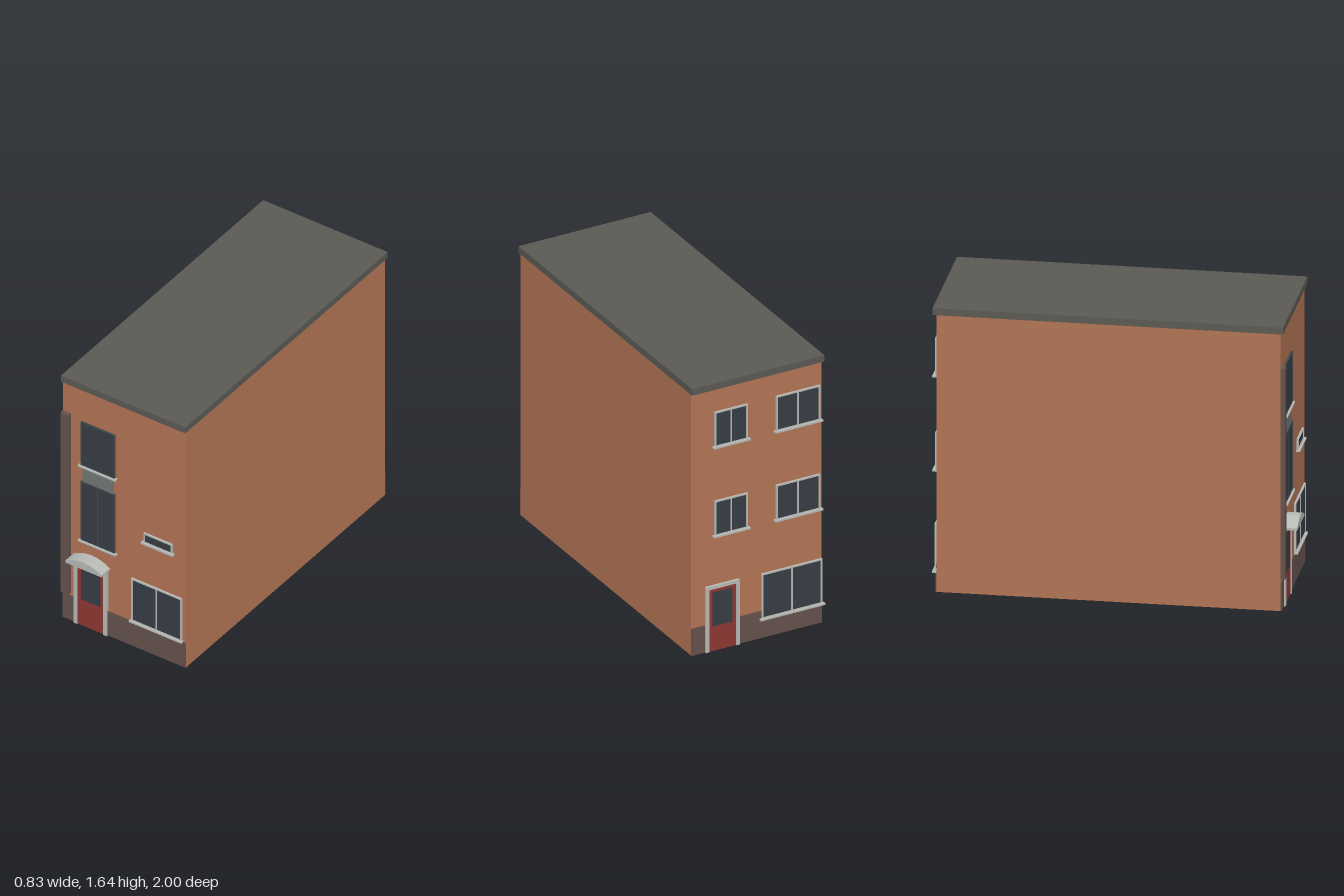
import * as THREE from 'three';

const mat = (color, side = THREE.FrontSide) => {
  const m = new THREE.MeshStandardMaterial({ color, side });
  return m;
};
const MAT = {
  brick: mat(0xb27455, THREE.DoubleSide),
  plinth: mat(0x65524c),
  roof: mat(0x5a5954),
  glass: mat(0x363d44),
  darkFrame: mat(0x41464a),
  trim: mat(0xb8bab6),
  panel: mat(0x707775),
  red: mat(0x8f3733),
};

function add(parent, name, geometry, material) {
  const mesh = new THREE.Mesh(geometry, material);
  mesh.name = name;
  parent.add(mesh);
  return mesh;
}

// Box given by its extents along each axis
function block(parent, name, material, x0, x1, y0, y1, z0, z1) {
  const mesh = add(parent, name, new THREE.BoxGeometry(x1 - x0, y1 - y0, z1 - z0), material);
  mesh.position.set((x0 + x1) / 2, (y0 + y1) / 2, (z0 + z1) / 2);
  return mesh;
}

// Rectangular surround; bottom = 0 leaves it open at the foot
function surround(parent, name, material, x0, x1, y0, y1, width, bottom, depth) {
  const outer = [[x0, y0], [x1, y0], [x1, y1], [x0, y1]];
  const inner = [[x0 + width, y0 + bottom], [x0 + width, y1 - width], [x1 - width, y1 - width], [x1 - width, y0 + bottom]];
  const toPoints = list => list.map(p => new THREE.Vector2(...p));
  let shape;
  if (bottom > 0) {
    shape = new THREE.Shape(toPoints(outer));
    shape.holes.push(new THREE.Path(toPoints(inner)));
  } else {
    shape = new THREE.Shape(toPoints([outer[0], ...inner, outer[1], outer[2], outer[3]]));
  }
  return add(parent, name, new THREE.ExtrudeGeometry(shape, { depth, bevelEnabled: false }), material);
}

// Window with frame, glass, optional mullion and a projecting sill
function windowUnit(parent, name, x0, x1, y0, y1, { frame = MAT.trim, width = 0.009, mullion = true, overhang = 0.012, sillDepth = 0.022 } = {}) {
  const g = new THREE.Group();
  g.name = name;
  parent.add(g);
  surround(g, 'windowFrame', frame, x0, x1, y0, y1, width, width, 0.011);
  block(g, 'windowGlass', MAT.glass, x0 + width / 2, x1 - width / 2, y0 + width / 2, y1 - width / 2, 0, 0.007);
  const c = (x0 + x1) / 2;
  if (mullion) block(g, 'windowMullion', frame, c - 0.005, c + 0.005, y0 + width, y1 - width, 0, 0.01);
  block(g, 'windowSill', MAT.trim, x0 - overhang, x1 + overhang, y0 - 0.005, y0 + 0.005, 0, sillDepth);
}

// Half-glazed door in a surround
function doorUnit(parent, name, x0, x1, height, width, glassBottom, glassTop) {
  const g = new THREE.Group();
  g.name = name;
  parent.add(g);
  surround(g, 'doorFrame', MAT.trim, x0, x1, 0, height, width, 0, 0.015);
  block(g, 'doorLeaf', MAT.red, x0 + width, x1 - width, 0, height - width, 0, 0.009);
  block(g, 'doorGlass', MAT.glass, x0 + width + 0.024, x1 - width - 0.022, glassBottom, glassTop, 0, 0.011);
}

function createFront() {
  const g = new THREE.Group();
  g.name = 'frontFacade';
  g.position.z = 0.92;
  block(g, 'frontPlinth', MAT.plinth, -0.403, 0.41, 0, 0.165, 0, 0.005);
  block(g, 'cornerStrip', MAT.plinth, -0.405, -0.35, 0.183, 1.403, 0, 0.025);

  // Stacked stair windows with the panel between them
  const dark = { frame: MAT.darkFrame, width: 0.006 };
  windowUnit(g, 'upperWindow', -0.28, -0.057, 1.085, 1.383, { ...dark, mullion: false });
  block(g, 'spandrelPanel', MAT.panel, -0.27, -0.066, 0.975, 1.085, 0, 0.008);
  windowUnit(g, 'stairWindow', -0.28, -0.057, 0.576, 0.98, dark);
  block(g, 'lowerPanel', MAT.darkFrame, -0.27, -0.066, 0.557, 0.576, 0, 0.008);

  windowUnit(g, 'slitWindow', 0.135, 0.323, 0.737, 0.803, { mullion: false });
  windowUnit(g, 'groundWindow', 0.053, 0.385, 0.171, 0.46, { overhang: 0.008 });
  doorUnit(g, 'frontDoor', -0.325, -0.105, 0.445, 0.024, 0.177, 0.402);

  // Curved canopy over the door
  const arch = new THREE.Shape();
  const segments = 10, half = 0.12;
  arch.moveTo(-half, 0.445);
  arch.lineTo(half, 0.445);
  for (let i = 0; i <= segments; i++) {
    const t = 1 - (2 * i) / segments;
    arch.lineTo(half * t, 0.458 + 0.037 * (1 - t * t));
  }
  const canopy = add(g, 'doorCanopy', new THREE.ExtrudeGeometry(arch, { depth: 0.08, bevelEnabled: false }), MAT.trim);
  canopy.position.x = -0.214;
  return g;
}

function createBack() {
  const g = new THREE.Group();
  g.name = 'backFacade';
  g.position.z = -0.977;
  g.rotation.y = Math.PI;
  block(g, 'backPlinth', MAT.plinth, -0.41, 0.403, 0, 0.165, 0, 0.005);
  // Two upper storeys share one window layout
  for (const y of [0.7, 1.245]) {
    windowUnit(g, 'smallBackWindow', -0.268, -0.062, y, y + 0.215, { sillDepth: 0.023 });
    windowUnit(g, 'wideBackWindow', 0.115, 0.39, y, y + 0.215, { sillDepth: 0.023 });
  }
  windowUnit(g, 'groundBackWindow', 0.025, 0.403, 0.117, 0.393, { sillDepth: 0.023 });
  doorUnit(g, 'backDoor', -0.325, -0.115, 0.4, 0.02, 0.15, 0.36);
  return g;
}

export function createModel() {
  const house = new THREE.Group();
  house.name = 'townhouse';

  // Brick shell, open underneath
  const walls = block(house, 'walls', MAT.brick, -0.403, 0.41, 0, 1.605, -0.977, 0.92);
  const index = Array.from(walls.geometry.index.array);
  index.splice(18, 6);
  walls.geometry.setIndex(index);
  walls.geometry.clearGroups();

  block(house, 'flatRoof', MAT.roof, -0.409, 0.415, 1.604, 1.644, -0.997, 0.935);
  house.add(createFront(), createBack());
  return house;
}
